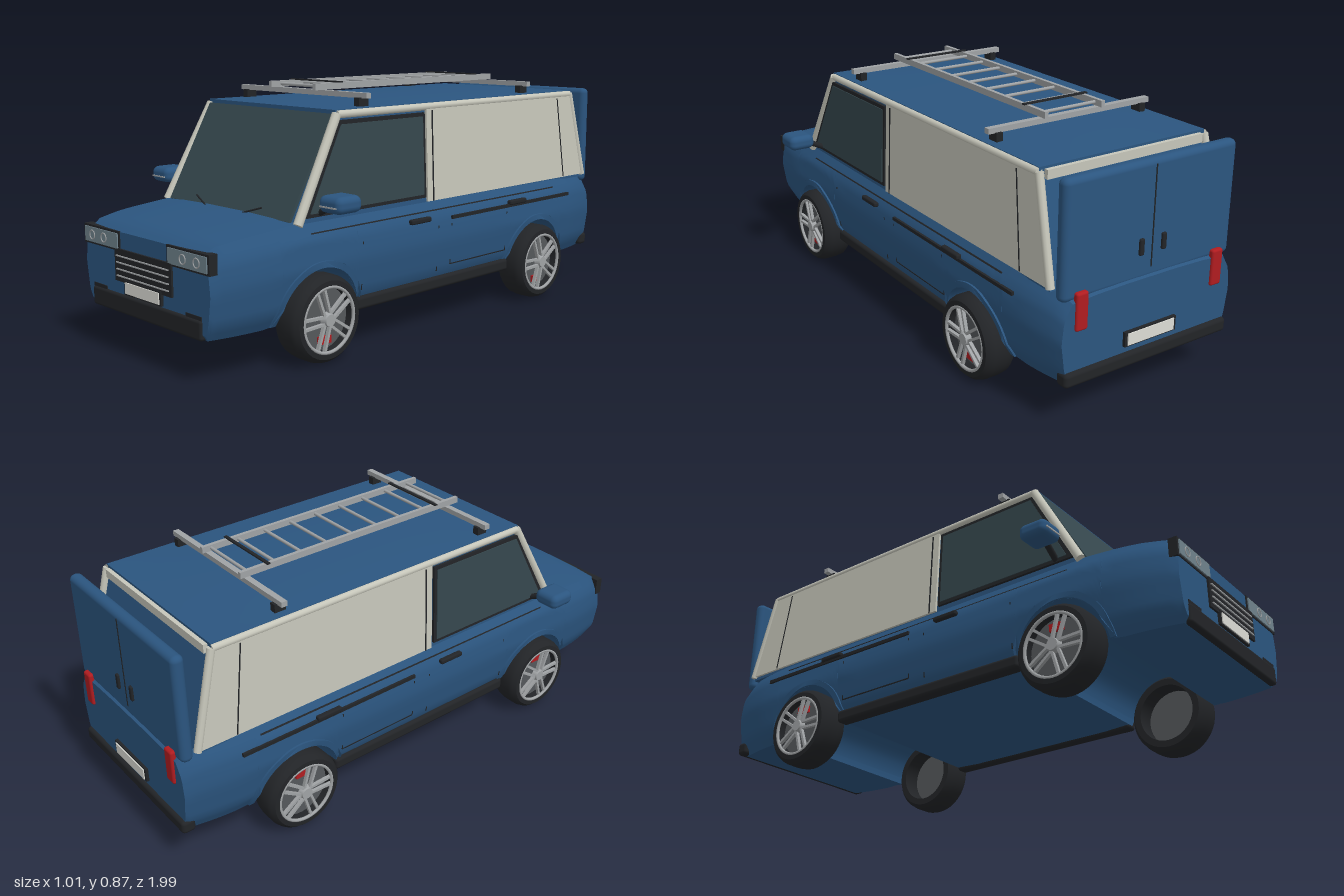
import * as THREE from 'three';
import { toCreasedNormals } from 'three/addons/utils/BufferGeometryUtils.js';
import { RoundedBoxGeometry } from 'three/addons/geometries/RoundedBoxGeometry.js';

const mat = (color) => new THREE.MeshStandardMaterial({ color, side: THREE.DoubleSide });
const BLUE = mat(0x2b557f), BLACK = mat(0x222427), BEIGE = mat(0xc6c6ba), GLASS = mat(0x35474d);
const SILVER = mat(0xa0a3a5), RED = mat(0xb01c20), LAMP = mat(0x6f828c), WHITE = mat(0xdcdcd6);
const V = (x, y, z) => new THREE.Vector3(x, y, z);
const AXLES = [-0.565, 0.57], ARCH = 0.165, AXLE_Y = 0.145;

// Linear interpolation in a table of [key, value] pairs
function table(t, k) {
  if (k <= t[0][0]) return t[0][1];
  for (let i = 1; i < t.length; i++) {
    if (k <= t[i][0]) return THREE.MathUtils.mapLinear(k, t[i - 1][0], t[i][0], t[i - 1][1], t[i][1]);
  }
  return t[t.length - 1][1];
}
const topAt = (z) => table([[-0.98, 0.415], [-0.95, 0.435], [-0.88, 0.45], [0.65, 0.455], [0.85, 0.438], [0.94, 0.425], [0.98, 0.4]], z);
const taper = (z) => 1 - 0.1 * Math.max(0, (Math.abs(z) - 0.74) / 0.24) ** 2;
const widthAt = (u) => table([[0, 0.335], [0.18, 0.367], [0.55, 0.383], [0.82, 0.374], [1, 0.342]], u);
const bodyX = (y, z = 0) => widthAt((y - 0.14) / (topAt(z) - 0.14)) * taper(z);
const cabinX = (y) => 0.352 - (y - 0.45) * 0.04;

// Lower body lofted from sections, with wheel arches cut through the floor
function bodyGeometry() {
  const zs = [-0.98, -0.965, -0.94, -0.9, -0.85, -0.8, -0.3, 0, 0.3, 0.78, 0.82, 0.86, 0.9, 0.94, 0.965, 0.98];
  for (const c of AXLES) for (let k = 0; k <= 20; k++) zs.push(c - ARCH * Math.cos(Math.PI * k / 20));
  zs.sort((a, b) => a - b);
  const pos = [], idx = [];
  let n = 0;
  for (const z of zs) {
    let low = Math.abs(z) > 0.97 ? 0.16 : 0.14;
    for (const c of AXLES) {
      if (Math.abs(z - c) <= ARCH + 1e-6) low = AXLE_Y + Math.sqrt(Math.max(0, ARCH ** 2 - (z - c) ** 2));
    }
    const top = topAt(z), half = [];
    for (let i = 0; i <= 12; i++) {
      const y = THREE.MathUtils.lerp(low, top, i / 12);
      half.push([bodyX(y, z), y]);
    }
    half.push([0.24 * taper(z), top + 0.007], [0.1, top + 0.01]);
    const ring = [...half, ...half.slice().reverse().map(([x, y]) => [-x, y])];
    n = ring.length;
    ring.forEach(([x, y]) => pos.push(x, y, z));
  }
  for (let i = 0; i < zs.length - 1; i++) for (let j = 0; j < n; j++) {
    const a = i * n + j, b = i * n + (j + 1) % n;
    idx.push(a, b, b + n, a, b + n, a + n);
  }
  const last = (zs.length - 1) * n;
  for (let j = 0; j < n / 2 - 1; j++) {
    const k = n - 1 - j;
    idx.push(j, k, k - 1, j, k - 1, j + 1);
    idx.push(last + j, last + k - 1, last + k, last + j, last + j + 1, last + k - 1);
  }
  const g = new THREE.BufferGeometry();
  g.setAttribute('position', new THREE.Float32BufferAttribute(pos, 3));
  g.setIndex(idx);
  return toCreasedNormals(g, 0.6);
}

// Mirror across x, keeping the faces outward
function flip(geo) {
  const g = geo.index ? geo.toNonIndexed() : geo.clone();
  g.scale(-1, 1, 1);
  for (const a of Object.values(g.attributes)) for (let i = 0; i < a.count; i += 3) for (let k = 0; k < a.itemSize; k++) {
    const t = a.getComponent(i + 1, k);
    a.setComponent(i + 1, k, a.getComponent(i + 2, k));
    a.setComponent(i + 2, k, t);
  }
  return g;
}

// Outline in (z, y) extruded outward on the right-hand side
function sideGeometry(shape, xAt, depth) {
  const g = new THREE.ExtrudeGeometry(shape, { depth, bevelEnabled: false, curveSegments: 24 });
  const p = g.attributes.position;
  for (let i = 0; i < p.count; i++) {
    const z = p.getX(i), y = p.getY(i);
    p.setXYZ(i, -(xAt(y) + p.getZ(i)), y, z);
  }
  return toCreasedNormals(g, 0.5);
}
const poly = (...pts) => new THREE.Shape(pts.map(([a, b]) => new THREE.Vector2(a, b)));

function rod(a, b, r, sides = 10) {
  const d = b.clone().sub(a), g = new THREE.CylinderGeometry(r, r, d.length(), sides);
  g.applyQuaternion(new THREE.Quaternion().setFromUnitVectors(V(0, 1, 0), d.normalize()));
  const m = a.clone().add(b).multiplyScalar(0.5);
  return g.translate(m.x, m.y, m.z);
}
const box = (w, h, d, x, y, z) => new THREE.BoxGeometry(w, h, d).translate(x, y, z);
const soft = (w, h, d, x, y, z, r) => new RoundedBoxGeometry(w, h, d, 3, r).translate(x, y, z);

function makeWheel() {
  const wheel = new THREE.Group();
  const put = (name, g, m) => { const o = new THREE.Mesh(g, m); o.name = name; wheel.add(o); };
  const profile = [[0.104, -0.06], [0.128, -0.06], [0.14, -0.045], [0.144, -0.02], [0.144, 0.025], [0.139, 0.042], [0.128, 0.054], [0.112, 0.055], [0.105, 0.04], [0.104, -0.06]];
  put('tyre', toCreasedNormals(new THREE.LatheGeometry(profile.map((p) => new THREE.Vector2(...p)), 40), 0.6), BLACK);
  put('rim', new THREE.TorusGeometry(0.107, 0.006, 8, 40).rotateX(Math.PI / 2).translate(0, 0.05, 0), SILVER);
  put('brakeDisc', new THREE.CylinderGeometry(0.104, 0.104, 0.008, 32).translate(0, 0.015, 0), mat(0x55585b));
  put('hub', new THREE.CylinderGeometry(0.02, 0.026, 0.02, 20).translate(0, 0.048, 0), SILVER);
  put('caliper', box(0.025, 0.014, 0.05, 0.07, 0.026, 0), RED);
  for (let i = 0; i < 5; i++) for (const s of [-1, 1]) {
    put('spoke', box(0.009, 0.012, 0.095, s * 0.011, 0.046, 0.06).rotateY(i * Math.PI * 0.4 + s * 0.04), SILVER);
  }
  return wheel;
}

export function createModel() {
  const model = new THREE.Group();
  model.name = 'van';
  const add = (name, g, m) => { const o = new THREE.Mesh(g, m); o.name = name; model.add(o); };
  const pair = (name, g, m) => { add(name + 'A', g, m); add(name + 'B', flip(g), m); };

  add('lowerBody', bodyGeometry(), BLUE);

  // Cabin core: a box leaned in at the top
  const cabin = new THREE.BoxGeometry(2, 2, 2), cp = cabin.attributes.position;
  for (let i = 0; i < cp.count; i++) {
    const up = cp.getY(i) > 0, front = cp.getZ(i) > 0, y = up ? 0.79 : 0.44;
    cp.setXYZ(i, cp.getX(i) * (cabinX(y) - 0.008), y, up ? (front ? 0.46 : -0.83) : (front ? 0.65 : -0.92));
  }
  cabin.computeVertexNormals();
  add('cabin', cabin, BLUE);

  // Crowned roof
  const roof = new THREE.BoxGeometry(0.66, 0.016, 1.3, 14, 1, 10).translate(0, 0.79, -0.185), rp = roof.attributes.position;
  for (let i = 0; i < rp.count; i++) {
    rp.setY(i, rp.getY(i) + 0.012 * (1 - (rp.getX(i) / 0.33) ** 2) * (1 - (Math.abs(rp.getZ(i) + 0.185) / 0.65) ** 4));
  }
  add('roof', toCreasedNormals(roof, 0.5), BLUE);

  // Windscreen, side windows and panels
  add('windscreen', box(0.64, 0.375, 0.01, 0, 0, 0).rotateX(-Math.atan2(0.19, 0.34)).translate(0, 0.62, 0.56), GLASS);
  pair('windowFrame', sideGeometry(poly([0.625, 0.468], [0.05, 0.468], [0.05, 0.765], [0.455, 0.765]), (y) => cabinX(y) - 0.01, 0.012), BLACK);
  pair('sideWindow', sideGeometry(poly([0.595, 0.48], [0.062, 0.48], [0.062, 0.752], [0.45, 0.752]), (y) => cabinX(y) - 0.01, 0.015), GLASS);
  pair('sidePanel', sideGeometry(poly([0.04, 0.452], [-0.915, 0.452], [-0.83, 0.78], [0.04, 0.78]), (y) => cabinX(y) - 0.01, 0.011), BEIGE);
  pair('panelSeam', sideGeometry(poly([-0.738, 0.77], [-0.742, 0.77], [-0.782, 0.455], [-0.778, 0.455]), (y) => cabinX(y), 0.003), BLACK);
  pair('doorPillarSeam', sideGeometry(poly([0.014, 0.452], [0.009, 0.452], [0.009, 0.77], [0.014, 0.77]), (y) => cabinX(y), 0.003), BLACK);
  pair('frontPillar', rod(V(0.35, 0.45, 0.645), V(0.33, 0.785, 0.458), 0.016), BEIGE);
  pair('roofRail', rod(V(0.33, 0.783, 0.458), V(0.33, 0.783, -0.835), 0.013), BEIGE);
  pair('rearPillar', rod(V(0.33, 0.785, -0.835), V(0.345, 0.45, -0.92), 0.014), BEIGE);
  add('rearHeader', box(0.62, 0.03, 0.02, 0, 0.775, -0.84), BEIGE);
  pair('wiper', rod(V(0.1, 0.462, 0.665), V(0.175, 0.485, 0.645), 0.003, 6), BLACK);

  // Rear door panel
  add('rearDoors', soft(0.68, 0.385, 0.045, 0, 0.608, -0.95, 0.02), BLUE);
  add('rearDoorSeam', box(0.004, 0.33, 0.003, 0, 0.62, -0.973), BLACK);
  pair('rearDoorHandle', soft(0.018, 0.055, 0.012, 0.045, 0.53, -0.975, 0.005), BLACK);
  pair('tailLight', soft(0.045, 0.125, 0.022, 0.275, 0.385, -0.978, 0.008), RED);
  add('rearBumper', soft(0.67, 0.05, 0.05, 0, 0.167, -0.968, 0.014), BLACK);
  add('rearPlateFrame', box(0.21, 0.05, 0.015, 0, 0.24, -0.983), BLACK);
  add('rearPlate', box(0.19, 0.04, 0.004, 0, 0.24, -0.992), WHITE);

  // Nose: bumper, grille, lamps and plate
  add('frontBumper', soft(0.605, 0.065, 0.045, 0, 0.173, 0.965, 0.01), BLACK);
  pair('bumperVent', box(0.08, 0.012, 0.015, 0.26, 0.21, 0.975), BLACK);
  add('grille', box(0.315, 0.107, 0.02, 0, 0.302, 0.977), BLACK);
  for (let i = 0; i < 4; i++) add('grilleBar', box(0.29, 0.004, 0.006, 0, 0.267 + i * 0.022, 0.988), SILVER);
  pair('headlightFrame', box(0.215, 0.064, 0.03, 0.239, 0.379, 0.968), BLACK);
  pair('headlight', box(0.197, 0.05, 0.006, 0.239, 0.379, 0.984), LAMP);
  for (const x of [0.22, 0.29]) pair('lampRing', new THREE.TorusGeometry(0.015, 0.002, 6, 24).translate(x, 0.379, 0.988), SILVER);
  add('frontPlateFrame', box(0.205, 0.048, 0.015, 0, 0.234, 0.982), BLACK);
  add('frontPlate', box(0.188, 0.037, 0.006, 0, 0.234, 0.99), WHITE);

  // Sills, arches, seams and handles
  pair('sill', soft(0.05, 0.045, 0.81, 0.345, 0.155, 0.0, 0.012), BLACK);
  for (const c of AXLES) {
    const arch = new THREE.Shape();
    arch.absarc(c, AXLE_Y, 0.186, 0, Math.PI, false);
    arch.absarc(c, AXLE_Y, ARCH, Math.PI, 0, true);
    pair('wheelArch', sideGeometry(arch, (y) => bodyX(y) - 0.03, 0.037), BLUE);
  }
  const seam = (z0, y0, z1, y1) => {
    const w = 0.002, up = z0 === z1;
    const s = up ? poly([z0 - w, y0], [z0 + w, y0], [z0 + w, y1], [z0 - w, y1]) : poly([z0, y0 - w], [z1, y0 - w], [z1, y0 + w], [z0, y0 + w]);
    pair('doorSeam', sideGeometry(s, (y) => bodyX(y) - 0.004, 0.0055), BLACK);
  };
  [[0.385, 0.2, 0.385, 0.365], [0.01, 0.2, 0.01, 0.365], [-0.06, 0.215, -0.06, 0.365], [-0.38, 0.215, -0.38, 0.365],
    [-0.38, 0.215, -0.06, 0.215], [-0.7, 0.42, 0.6, 0.42]].forEach((s) => seam(...s));
  pair('slideRail', box(0.01, 0.012, 0.72, 0.377, 0.386, -0.42), BLACK);
  for (const z of [0.11, -0.44]) pair('doorHandle', soft(0.02, 0.018, 0.1, 0.38, 0.397, z, 0.006), BLACK);

  // Wing mirrors
  pair('mirrorArm', rod(V(0.345, 0.478, 0.55), V(0.425, 0.515, 0.56), 0.011), BLACK);
  pair('mirror', soft(0.1, 0.055, 0.105, 0.453, 0.523, 0.56, 0.022), BLUE);
  pair('mirrorTrim', box(0.075, 0.005, 0.004, 0.453, 0.517, 0.613), SILVER);

  // Roof bars and ladder
  for (const z of [0.31, -0.565]) {
    add('roofBar', box(0.655, 0.018, 0.022, 0, 0.835, z), SILVER);
    pair('barFoot', box(0.024, 0.036, 0.042, 0.292, 0.81, z), BLACK);
  }
  pair('ladderRail', box(0.014, 0.022, 0.95, 0.115, 0.856, -0.115), SILVER);
  for (let i = 0; i < 9; i++) add('ladderRung', rod(V(-0.115, 0.856, -0.555 + i * 0.1085), V(0.115, 0.856, -0.555 + i * 0.1085), 0.006, 8), SILVER);
  for (const z of [-0.485, 0.245]) add('ladderStrap', box(0.26, 0.005, 0.012, 0, 0.869, z), BLACK);

  // Wheels
  for (const z of AXLES) for (const s of [-1, 1]) {
    const w = makeWheel();
    w.name = z > 0 ? 'frontWheel' : 'rearWheel';
    w.position.set(s * 0.36, AXLE_Y, z);
    w.rotation.z = -s * Math.PI / 2;
    model.add(w);
  }
  return model;
}
